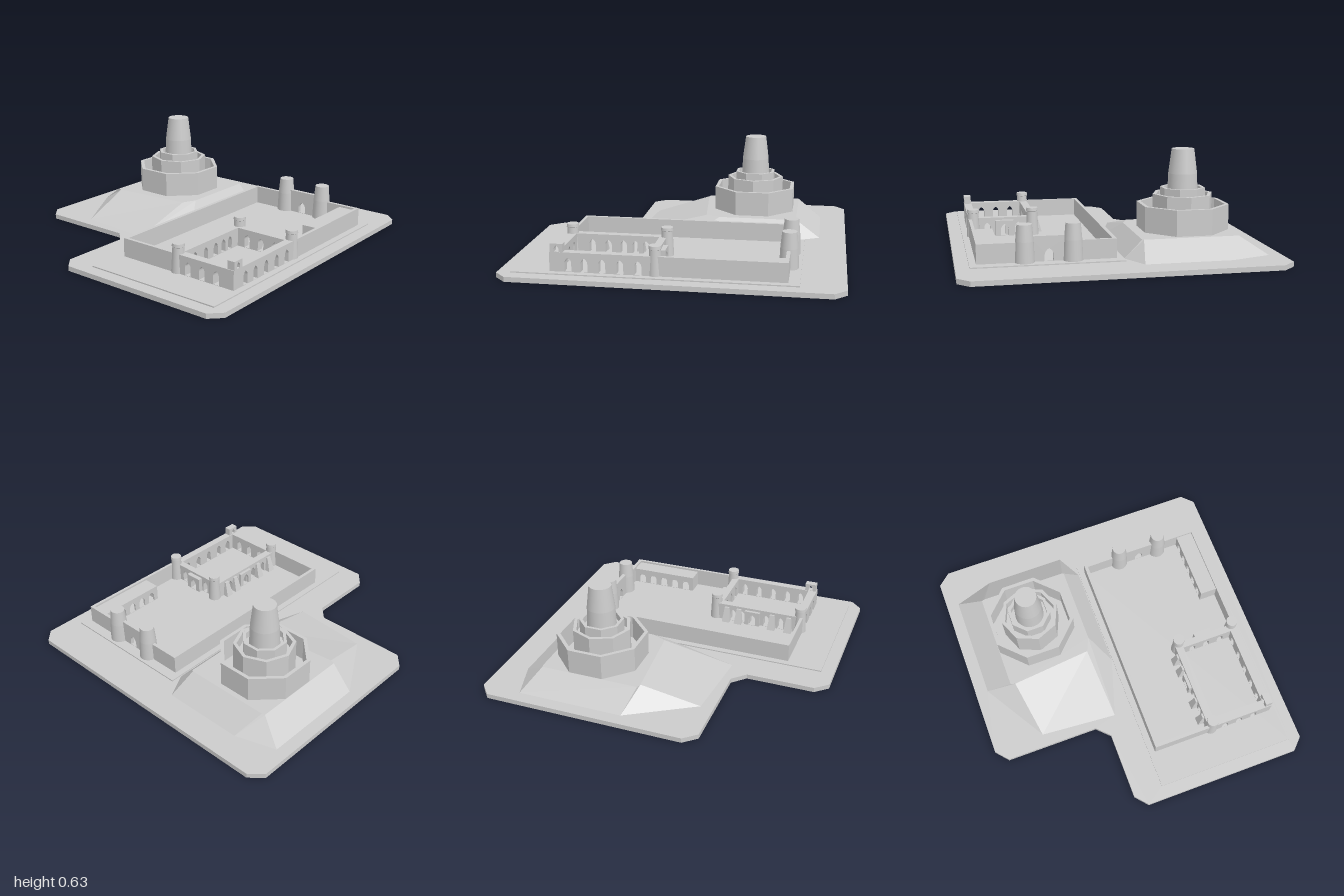
import * as THREE from 'three';

const flat = new THREE.MeshStandardMaterial({ color: 0xcccccc, flatShading: true, side: THREE.DoubleSide });
const smooth = new THREE.MeshStandardMaterial({ color: 0xcccccc, side: THREE.DoubleSide });
const GROUND = 0.03, FLOOR = 0.037, WALL = 0.153, HILL = 0.138;

function add(parent, name, geometry, material = flat) {
  const mesh = new THREE.Mesh(geometry, material);
  mesh.name = name;
  parent.add(mesh);
  return mesh;
}

// Box given by its limits
function box(parent, name, x0, x1, y0, y1, z0, z1) {
  const m = add(parent, name, new THREE.BoxGeometry(x1 - x0, y1 - y0, z1 - z0));
  m.position.set((x0 + x1) / 2, (y0 + y1) / 2, (z0 + z1) / 2);
  return m;
}

// Horizontal sheet from [x, z] outlines
function sheet(parent, name, y, outline, holes = []) {
  const v = ([x, z]) => new THREE.Vector2(x, -z);
  const s = new THREE.Shape(outline.map(v));
  holes.forEach(h => s.holes.push(new THREE.Path(h.map(v))));
  const g = new THREE.ShapeGeometry(s).rotateX(-Math.PI / 2).translate(0, y, 0);
  return add(parent, name, g);
}

// Band of quads between a lower and an upper [x, z] loop
function band(parent, name, low, y0, high, y1) {
  const pos = [], idx = [], n = low.length;
  for (let i = 0; i < n; i++) pos.push(low[i][0], y0, low[i][1], high[i][0], y1, high[i][1]);
  for (let i = 0; i < n; i++) {
    const a = 2 * i, b = 2 * ((i + 1) % n);
    idx.push(a, a + 1, b, b, a + 1, b + 1);
  }
  const g = new THREE.BufferGeometry();
  g.setAttribute('position', new THREE.Float32BufferAttribute(pos, 3));
  g.setIndex(idx);
  g.computeVertexNormals();
  return add(parent, name, g);
}

// Wall pierced by pointed arches; local x along the wall, centred
function archWall(parent, name, length, height, thick, centres, w, h) {
  const s = new THREE.Shape();
  s.moveTo(-length / 2, 0).lineTo(length / 2, 0).lineTo(length / 2, height).lineTo(-length / 2, height).closePath();
  for (const c of centres) {
    const p = new THREE.Path(), r = w / 2, spring = h - w * 0.75, b = 0.002;
    p.moveTo(c - r, b).lineTo(c - r, spring);
    p.quadraticCurveTo(c - r, spring + w * 0.4, c, h);
    p.quadraticCurveTo(c + r, spring + w * 0.4, c + r, spring);
    p.lineTo(c + r, b).closePath();
    s.holes.push(p);
  }
  const g = new THREE.ExtrudeGeometry(s, { depth: thick, bevelEnabled: false, curveSegments: 4 });
  g.translate(0, 0, -thick / 2);
  return add(parent, name, g);
}

// Stack of round drums from [radius, y] points, with a lid
function roundTower(parent, name, x, z, profile) {
  const tower = new THREE.Group();
  tower.name = name;
  tower.position.set(x, 0, z);
  for (let i = 0; i + 1 < profile.length; i++) {
    const [r0, y0] = profile[i], [r1, y1] = profile[i + 1];
    const last = i + 2 === profile.length;
    const d = add(tower, 'towerDrum', new THREE.CylinderGeometry(r1, r0, Math.max(y1 - y0, 0.0005), 20, 1, !last), smooth);
    d.position.y = (y0 + y1) / 2;
  }
  parent.add(tower);
}

// Eight-sided parapet ring with a floor inside
function octagonTier(parent, name, r, thick, y0, y1, floorY, turn) {
  const pts = [[r, y0], [r, y1], [r - thick, y1], [r - thick, floorY], [0, floorY]]
    .map(p => new THREE.Vector2(...p));
  add(parent, name, new THREE.LatheGeometry(pts, 8)).rotation.y = turn;
}

function terrain(parent) {
  const outline = [[-1, -0.14], [-0.92, -0.21], [-0.49, -0.21], [-0.41, -0.29], [-0.41, -0.89], [-0.33, -0.96],
    [0.93, -0.96], [1, -0.88], [1, 0.88], [0.93, 0.95], [-0.93, 0.95], [-1, 0.88]];
  const foot = [[0.08, -0.88], [0.75, -0.88], [0.83, -0.63], [0.83, -0.11], [0.67, -0.025], [0, -0.025],
    [-0.37, -0.14], [-0.33, -0.63]];
  const crown = [[0.04, -0.72], [0.67, -0.72], [0.675, -0.7], [0.675, -0.14], [0.67, -0.13], [0.17, -0.13],
    [0.08, -0.17], [0.03, -0.69]];
  const yard = [[-0.92, -0.02], [0.74, -0.02], [0.74, 0.87], [-0.92, 0.87]];
  sheet(parent, 'ground', GROUND, outline, [foot, yard]);
  band(parent, 'groundEdge', outline, 0, outline, GROUND);
  band(parent, 'hillSlope', foot, GROUND, crown, HILL);
  sheet(parent, 'hillTop', HILL, crown);
  sheet(parent, 'yardFloor', FLOOR, yard);
  band(parent, 'yardStep', yard, GROUND, yard, FLOOR);
}

function hillFort(parent) {
  const fort = new THREE.Group();
  fort.name = 'hillFort';
  fort.position.set(0.38, 0, -0.455);
  const e = Math.PI / 8;
  octagonTier(fort, 'outerRing', 0.284, 0.024, HILL, 0.295, HILL + 0.004, e);
  octagonTier(fort, 'middleRing', 0.188, 0.022, HILL, 0.355, 0.29, 0);
  octagonTier(fort, 'innerRing', 0.138, 0.02, 0.29, 0.393, 0.35, e);
  roundTower(fort, 'keep', 0, 0, [[0.093, 0.35], [0.088, 0.48], [0.069, 0.63]]);
  parent.add(fort);
}

function courtyard(parent) {
  const yard = new THREE.Group();
  yard.name = 'courtyard';
  parent.add(yard);
  // Thin enclosing walls
  box(yard, 'backWall', -0.695, 0.675, FLOOR, WALL, 0.02, 0.042);
  box(yard, 'rightWall', -0.695, -0.675, FLOOR, WALL, 0.042, 0.39);
  box(yard, 'frontWall', -0.08, 0.675, FLOOR, WALL, 0.81, 0.83);
  box(yard, 'gateSideWall', 0.653, 0.675, FLOOR, WALL, 0.042, 0.3);
  box(yard, 'gateSideWall', 0.653, 0.675, FLOOR, WALL, 0.53, 0.81);
  // Gate between its two towers
  const gate = archWall(yard, 'gate', 0.24, 0.185 - FLOOR, 0.025, [0], 0.052, 0.076);
  gate.rotation.y = Math.PI / 2;
  gate.position.set(0.658, FLOOR, 0.415);
  for (const z of [0.275, 0.555])
    roundTower(yard, 'gateTower', 0.665, z, [[0.058, FLOOR], [0.053, 0.16], [0.044, 0.257]]);
  // Lean-to gallery in the corner
  box(yard, 'galleryRoof', 0.2, 0.653, 0.125, 0.14, 0.7, 0.81);
  box(yard, 'galleryEnd', 0.2, 0.215, FLOOR, 0.125, 0.7, 0.81);
  archWall(yard, 'galleryArcade', 0.453, 0.125 - FLOOR, 0.015, [-0.17, -0.085, 0, 0.085, 0.17], 0.05, 0.075)
    .position.set(0.4265, FLOOR, 0.7075);
}

function cloister(parent) {
  const house = new THREE.Group();
  house.name = 'cloister';
  parent.add(house);
  const h = WALL - FLOOR, cx = -0.3875;
  // Four arcaded walls
  archWall(house, 'frontArcade', 0.615, h, 0.05, [-0.585, -0.49, -0.385, -0.28, -0.175].map(x => x - cx), 0.04, 0.084)
    .position.set(cx, FLOOR, 0.805);
  archWall(house, 'backArcade', 0.615, h, 0.05, [-0.543, -0.442, -0.347, -0.272, -0.207].map(x => x - cx), 0.04, 0.084)
    .position.set(cx, FLOOR, 0.415);
  for (const [name, x, arches] of [['rightArcade', -0.6675, [-0.1, 0, 0.1]], ['leftArcade', -0.1025, [-0.1, 0, 0.1]]]) {
    const w = archWall(house, name, 0.34, h, x < -0.5 ? 0.055 : 0.045, arches, 0.04, 0.084);
    w.rotation.y = Math.PI / 2;
    w.position.set(x, FLOOR, 0.61);
  }
  // Shallow porches
  archWall(house, 'backPorch', 0.105, 0.1, 0.02, [0], 0.05, 0.08).position.set(-0.347, FLOOR, 0.38);
  const porch = archWall(house, 'sidePorch', 0.115, 0.1, 0.03, [0], 0.05, 0.08);
  porch.rotation.y = Math.PI / 2;
  porch.position.set(-0.065, FLOOR, 0.6);
  // Sloping buttresses, narrower at the top
  for (const x of [-0.6, -0.485, -0.25, -0.165]) {
    const g = new THREE.BoxGeometry(0.052, 0.1, 0.04).translate(0, 0.05, -0.02);
    const p = g.attributes.position;
    for (let i = 0; i < p.count; i++)
      if (p.getY(i) > 0.05) p.setXYZ(i, p.getX(i) * 0.6, 0.1, p.getZ(i) * 0.3);
    add(house, 'buttress', g).position.set(x, FLOOR, 0.39);
  }
  // Corner towers with a slight rim
  for (const [x, z] of [[-0.67, 0.42], [-0.08, 0.42], [-0.08, 0.8]])
    roundTower(house, 'cornerTower', x, z, [[0.042, FLOOR], [0.034, 0.19], [0.038, 0.193], [0.036, 0.212]]);
  // Bell gable on the remaining corner
  archWall(house, 'bellGable', 0.075, 0.05, 0.045, [0], 0.03, 0.038).position.set(-0.6525, WALL, 0.807);
}

export function createModel() {
  const model = new THREE.Group();
  model.name = 'hillFortAndCourtyard';
  terrain(model);
  hillFort(model);
  courtyard(model);
  cloister(model);
  return model;
}
